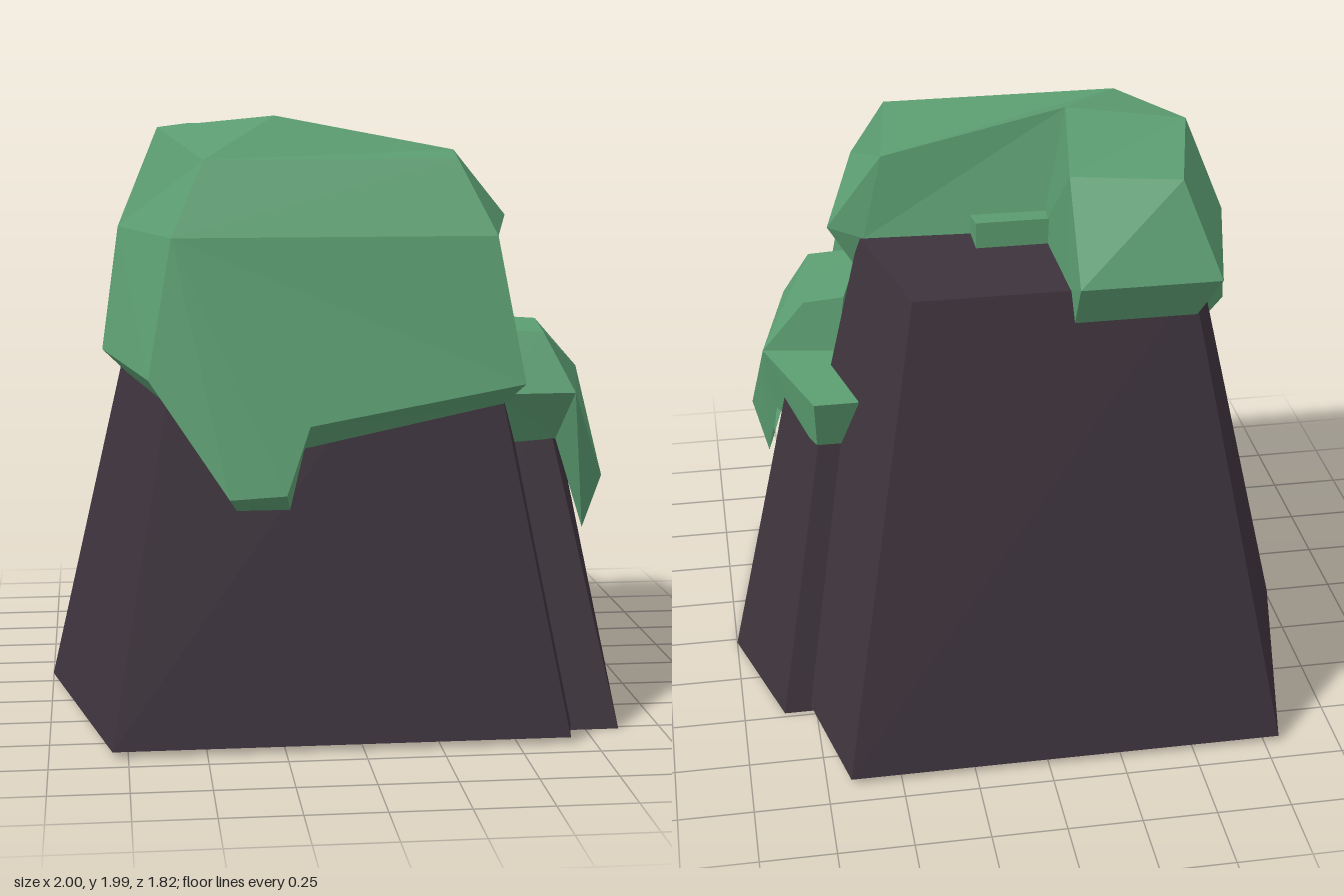
import * as THREE from 'three';

// Faceted surface from named corners; each face is a string of corner names, fanned from its first corner.
function faceted(name, material, corners, faces) {
  const pos = [];
  for (const face of faces) {
    const p = face.split(' ').map((k) => corners[k]);
    for (let i = 1; i < p.length - 1; i++) pos.push(...p[0], ...p[i], ...p[i + 1]);
  }
  const geo = new THREE.BufferGeometry();
  geo.setAttribute('position', new THREE.Float32BufferAttribute(pos, 3));
  geo.computeVertexNormals();
  const mesh = new THREE.Mesh(geo, material);
  mesh.name = name;
  return mesh;
}

// Tapered rock with an open underside: bottom and top outlines as [x, z] pairs.
function rock(name, material, bottom, y0, top, y1, closed) {
  const corners = {}, n = bottom.length, faces = [];
  for (let i = 0; i < n; i++) {
    corners['b' + i] = [bottom[i][0], y0, bottom[i][1]];
    corners['t' + i] = [top[i][0], y1, top[i][1]];
    const j = (i + 1) % n;
    if (closed || j) faces.push(`b${i} b${j} t${j} t${i}`);
  }
  faces.push(top.map((_, i) => 't' + i).join(' '));
  return faceted(name, material, corners, faces);
}

export function createModel() {
  const stone = new THREE.MeshStandardMaterial({ color: 0x3d333c, flatShading: true, side: THREE.DoubleSide });
  stone.name = 'dark stone';
  const moss = new THREE.MeshStandardMaterial({ color: 0x5c9e72, flatShading: true, side: THREE.DoubleSide });
  moss.name = 'green moss';
  const group = new THREE.Group();
  group.name = 'mossyRock';

  // Main six-sided boulder
  group.add(rock('mainRock', stone,
    [[-0.8, 0.91], [0.67, 0.91], [0.87, -0.03], [0.67, -0.91], [-0.8, -0.91], [-1, -0.03]], 0.02,
    [[-0.52, 0.56], [0.39, 0.56], [0.505, -0.03], [0.39, -0.56], [-0.52, -0.56], [-0.635, -0.03]], 1.6, true));

  // Smaller rock leaning out of the left flank, open where it is buried
  group.add(rock('sideRock', stone,
    [[0.26, 0.77], [0.86, 0.77], [1, -0.02], [0.86, -0.48], [0.26, -0.48]], 0,
    [[0.3, 0.41], [0.66, 0.41], [0.76, 0], [0.66, -0.22], [0.3, -0.22]], 1.08, false));

  // Large moss cap. p: crown, q: shoulder, t: front hem, u/s/b: inner hem on the rock, n: notch floor
  group.add(faceted('mossCap', moss, {
    p1: [-0.48, 1.86, 0.53], p2: [0.35, 1.86, 0.53], p3: [0.42, 1.87, 0], p4: [-0.21, 1.99, 0.04],
    p6: [-0.48, 1.95, -0.54], p7: [-0.61, 1.95, -0.02], p8: [-0.13, 1.95, -0.46],
    q0: [-0.75, 1.61, -0.02], q1: [-0.59, 1.62, 0.67], q2: [0.46, 1.62, 0.67], q3: [0.61, 1.64, -0.03],
    q4: [-0.59, 1.65, -0.67], q5: [-0.13, 1.65, -0.67],
    t0: [-0.81, 1.2, 0.12], t1: [-0.67, 1.18, 0.76], t2: [-0.42, 0.81, 0.86], t3: [-0.24, 0.82, 0.86],
    t4: [-0.16, 1.03, 0.8], t5: [0.54, 1.15, 0.76],
    u0: [-0.71, 1.1, 0.1], u1: [-0.6, 1.08, 0.66], u2: [-0.39, 0.75, 0.74], u3: [-0.22, 0.75, 0.74],
    u4: [-0.17, 0.94, 0.7], u5: [0.48, 1.07, 0.67],
    s2: [0.41, 1.49, 0.58], s3: [0.52, 1.49, -0.02],
    b0: [-0.65, 1.49, -0.02], b1: [-0.53, 1.49, -0.58], b2: [-0.13, 1.49, -0.58],
    n0: [-0.11, 1.6, -0.08], n1: [0.49, 1.6, -0.05], n2: [-0.12, 1.6, -0.55],
  }, [
    'p1 p4 p7', 'p1 p2 p3 p4', 'p7 p4 p8 p6',                            // crown
    'q1 q2 p2 p1', 'q2 q3 p3 p2', 'q0 q1 p1 p7', 'q4 q0 p7 p6', 'q5 q4 p6 p8', // shoulders
    'q1 t1 t2 t3 t4', 'q1 t4 t5 q2', 'q0 t0 t1 q1',                      // front apron and its right flank
    't0 u0 u1 t1', 't1 u1 u2 t2', 't2 u2 u3 t3', 't3 u3 u4 t4', 't4 u4 u5 t5', // hem
    'q2 t5 u5 s2', 'q2 s2 s3 q3', 'q0 b0 u0 t0', 'q4 b1 b0 q0', 'q5 b2 b1 q4', // sides
    'p4 p3 n1 n0', 'p3 q3 n1', 'q3 s3 n1', 'p8 p4 n0 n2', 'p8 n2 q5', 'q5 n2 b2', // notch
  ]));

  // Little ledge of moss in the notch
  group.add(faceted('mossLedge', moss, {
    a: [-0.14, 1.66, -0.05], b: [0.13, 1.66, -0.05], c: [0.13, 1.69, -0.19], d: [-0.14, 1.69, -0.19],
    e: [0.13, 1.59, -0.05], f: [0.13, 1.59, -0.19], g: [-0.14, 1.59, -0.19],
  }, ['a b c d', 'b e f c', 'c f g d']));

  // Moss patch on the side rock. a/b: crown, c: front crease, d/e/f: bulge, g/h: drip, i/j: rear strip
  group.add(faceted('sideMoss', moss, {
    a: [0.64, 1.29, 0.53], a0: [0.45, 1.3, 0.53], b: [0.69, 1.29, 0.13], b0: [0.55, 1.3, 0.13],
    c: [0.73, 1.1, 0.63], c0: [0.47, 1.1, 0.64], d: [0.84, 1.12, 0.12], d0: [0.58, 1.12, 0.08],
    e: [0.88, 0.82, 0.31], f: [0.85, 0.8, 0.5], g: [0.8, 0.61, 0.44], h: [0.83, 0.63, 0.28],
    k: [0.7, 0.92, 0.46], k0: [0.5, 0.91, 0.48],
    i: [0.7, 1.13, -0.33], i0: [0.55, 1.13, -0.33], j: [0.69, 0.94, -0.26], j0: [0.55, 0.94, -0.26],
    m: [0.8, 0.88, 0.14],
  }, [
    'a0 a b b0', 'c0 c a a0', 'b d d0 b0', 'a c d b',
    'c f e d', 'f g h e', 'd e h m', 'c k g f', 'c0 k0 k c',
    'd0 d i i0', 'd m j i', 'i j j0 i0', 'a0 b0 d0 c0',
  ]));

  return group;
}
